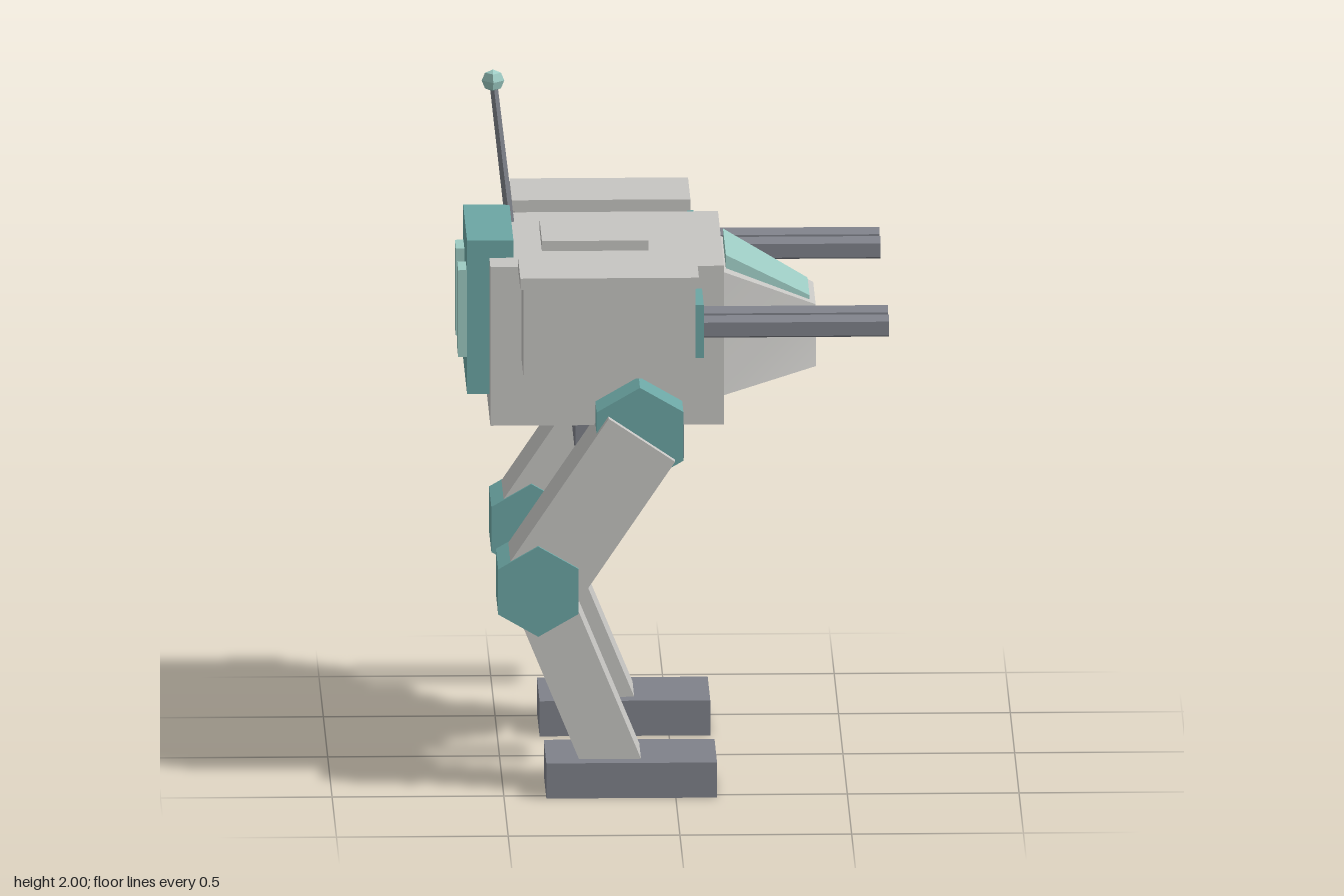
import * as THREE from 'three';

const material = (name, color) => {
  const m = new THREE.MeshStandardMaterial({ color });
  m.name = name;
  return m;
};

export function createModel() {
  const armour = material('light grey armour', 0xc6c5c2);
  const teal = material('teal joints', 0x6ca6a4);
  const pale = material('pale teal glass', 0x9ccac2);
  const metal = material('dark grey metal', 0x7f828a);
  const model = new THREE.Group();
  model.name = 'walker';

  const add = (name, geometry, mat, parent = model) => {
    const mesh = new THREE.Mesh(geometry, mat);
    mesh.name = name;
    parent.add(mesh);
    return mesh;
  };

  // Box given by its [min, max] range on each axis
  const block = (name, [x0, x1], [y0, y1], [z0, z1], mat, parent) => {
    const g = new THREE.BoxGeometry(x1 - x0, y1 - y0, z1 - z0);
    g.translate((x0 + x1) / 2, (y0 + y1) / 2, (z0 + z1) / 2);
    return add(name, g, mat, parent);
  };

  // Box joining points a and b in the side plane
  const limb = (name, a, b, thick, [z0, z1], mat, parent) => {
    const dx = b[0] - a[0], dy = b[1] - a[1];
    const g = new THREE.BoxGeometry(Math.hypot(dx, dy), thick, z1 - z0);
    g.rotateZ(Math.atan2(dy, dx));
    g.translate((a[0] + b[0]) / 2, (a[1] + b[1]) / 2, (z0 + z1) / 2);
    return add(name, g, mat, parent);
  };

  // Six-sided joint lying across the body
  const joint = (name, [x, y], r, [z0, z1], parent) => {
    const g = new THREE.CylinderGeometry(r, r, z1 - z0, 6).toNonIndexed();
    g.rotateX(Math.PI / 2);
    g.translate(x, y, (z0 + z1) / 2);
    g.computeVertexNormals();
    return add(name, g, teal, parent);
  };

  // Tapered box: each end is { x, bottom: [y, halfWidth], top: [y, halfWidth] }
  const taper = (name, back, front, mat) => {
    const g = new THREE.BoxGeometry(1, 1, 1);
    const p = g.attributes.position;
    for (let i = 0; i < p.count; i++) {
      const end = p.getX(i) > 0 ? front : back;
      const [y, w] = p.getY(i) > 0 ? end.top : end.bottom;
      p.setXYZ(i, end.x, y, Math.sign(p.getZ(i)) * w);
    }
    g.computeVertexNormals();
    return add(name, g, mat);
  };

  // Hull
  block('body', [-0.535, 0.145], [1.07, 1.545], [-0.34, 0.34], armour);
  block('topHatch', [-0.38, -0.07], [1.545, 1.575], [-0.145, 0.145], armour);
  block('backPack', [-0.6, -0.465], [1.138, 1.597], [-0.225, 0.225], teal);
  block('pelvis', [-0.285, 0.03], [0.955, 1.07], [-0.275, 0.275], metal);

  // Cockpit
  taper('nose',
    { x: 0.145, bottom: [1.135, 0.25], top: [1.5, 0.23] },
    { x: 0.417, bottom: [1.205, 0.182], top: [1.38, 0.14] }, armour);
  taper('windscreen',
    { x: 0.155, bottom: [1.48, 0.165], top: [1.535, 0.165] },
    { x: 0.4, bottom: [1.36, 0.11], top: [1.4, 0.11] }, pale);

  for (const s of [1, -1]) {
    const side = s > 0 ? 'left' : 'right';
    const span = (a, b) => (s > 0 ? [a, b] : [-b, -a]);

    block(side + 'Vent', [-0.625, -0.6], [1.24, 1.5], span(0.08, 0.19), pale);

    // Gun pod with lid, mount plate and twin five-sided barrels
    const pod = new THREE.Group();
    pod.name = side + 'GunPod';
    model.add(pod);
    block('podBox', [-0.445, 0.055], [1.275, 1.545], span(0.363, 0.613), armour, pod);
    block('podLid', [-0.455, 0.065], [1.545, 1.578], span(0.352, 0.625), armour, pod);
    block('gunMount', [0.055, 0.08], [1.33, 1.488], span(0.388, 0.593), teal, pod);
    for (const z of [0.43, 0.545]) {
      const g = new THREE.CylinderGeometry(0.035, 0.035, 0.54, 5).toNonIndexed();
      g.rotateY(Math.PI);
      g.rotateZ(-Math.PI / 2);
      g.translate(0.35, 1.41, s * z);
      g.computeVertexNormals();
      add('barrel', g, metal, pod);
    }

    // Leg
    const leg = new THREE.Group();
    leg.name = side + 'Leg';
    model.add(leg);
    const hip = [-0.103, 1.068], knee = [-0.4, 0.615];
    joint('hip', hip, 0.146, span(0.205, 0.478), leg);
    limb('thigh', [-0.098, 1.064], knee, 0.233, span(0.27, 0.508), armour, leg);
    joint('knee', knee, 0.135, span(0.26, 0.518), leg);
    limb('shin', knee, [-0.172, 0.06], 0.167, span(0.29, 0.483), armour, leg);
    block('foot', [-0.377, 0.12], [0, 0.105], span(0.24, 0.535), metal, leg);
  }

  // Antenna
  const rod = new THREE.CylinderGeometry(0.012, 0.014, 0.43, 5).toNonIndexed();
  rod.computeVertexNormals();
  const antenna = add('antenna', rod, metal);
  antenna.position.set(-0.488, 1.75, -0.228);
  antenna.rotation.z = 0.113;
  const ball = new THREE.SphereGeometry(0.033, 4, 4).toNonIndexed();
  ball.computeVertexNormals();
  add('antennaTip', ball, pale).position.set(-0.513, 1.967, -0.228);

  return model;
}
